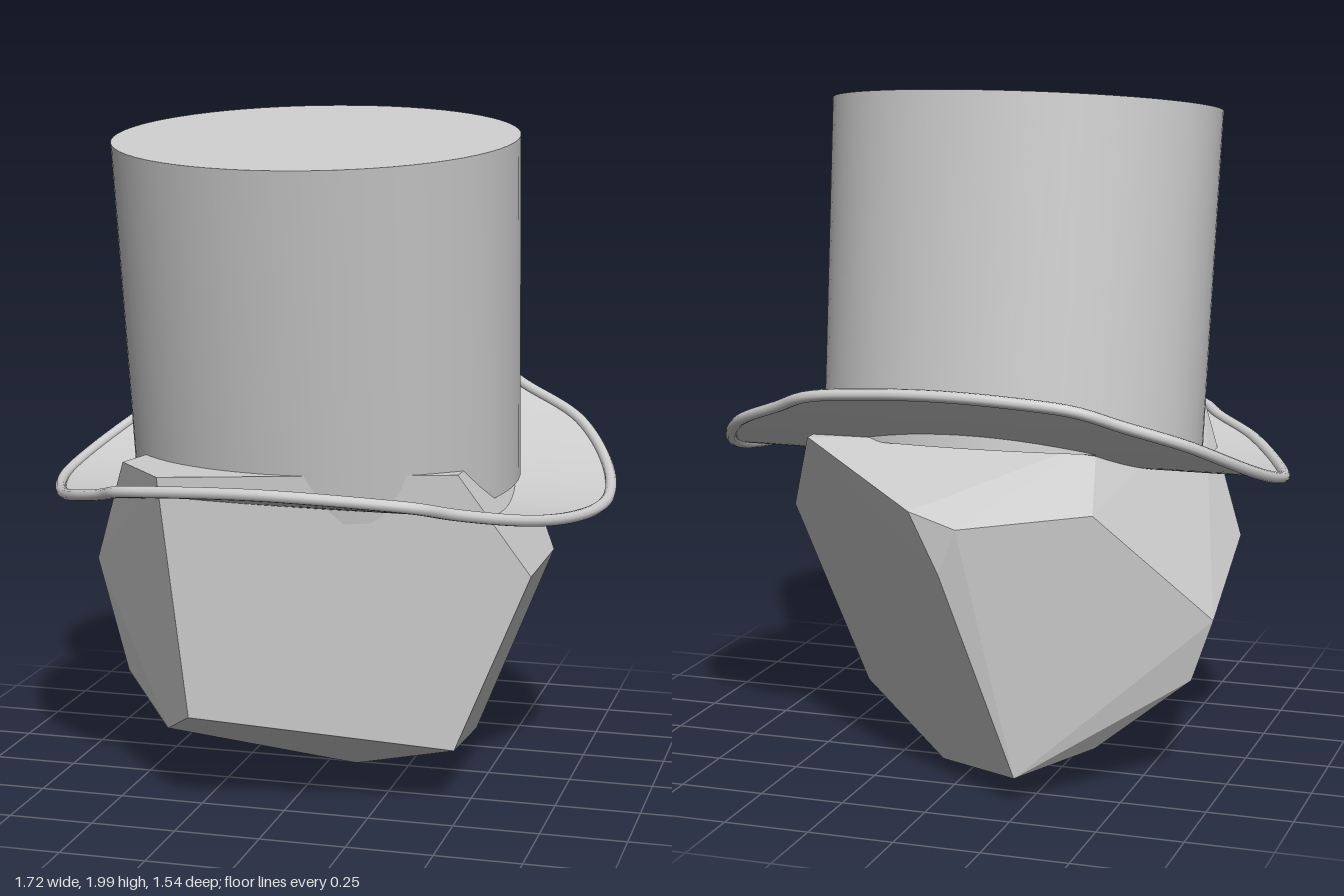
import * as THREE from 'three';
import { ConvexGeometry } from 'three/addons/geometries/ConvexGeometry.js';

const V = (x, y, z) => new THREE.Vector3(x, y, z);

// Height of the brim: low near the middle, curling up to front and back
const brimHeight = (z) => {
  const d = z - 0.15;
  return 0.862 + (d > 0 ? 0.35 : 0.48) * d * d;
};

// Mirrored outline of the brim seen from above
function brimOutline() {
  const half = [[0.3, 0.715], [0.44, 0.675], [0.5, 0.61], [0.65, 0.465], [0.785, 0.22], [0.845, 0],
    [0.81, -0.23], [0.69, -0.44], [0.5, -0.565], [0.4, -0.62], [0.2, -0.65]];
  const flat = [[0, 0.75], ...half, [0, -0.66], ...half.slice().reverse().map(([x, z]) => [-x, z])];
  const curve = new THREE.CatmullRomCurve3(flat.map(([x, z]) => V(x, 0, z)), true, 'centripetal');
  return curve.getSpacedPoints(120).slice(0, 120);
}

// Curved sheet made of rings growing from the middle to the outline
function brimSheet(outline) {
  const rings = 20, n = outline.length, cz = 0.04, pos = [], idx = [];
  for (let r = 0; r <= rings; r++) {
    for (const p of outline) {
      const t = Math.max(r / rings, 0.001);
      const z = cz + (p.z - cz) * t;
      pos.push(p.x * t, brimHeight(z), z);
    }
  }
  for (let r = 0; r < rings; r++) {
    for (let i = 0; i < n; i++) {
      const j = (i + 1) % n, a = r * n + i, b = r * n + j, c = a + n, d = b + n;
      idx.push(a, c, b, b, c, d);
    }
  }
  const g = new THREE.BufferGeometry();
  g.setAttribute('position', new THREE.Float32BufferAttribute(pos, 3));
  g.setIndex(idx);
  g.computeVertexNormals();
  return g;
}

export function createModel() {
  const group = new THREE.Group();
  const grey = new THREE.MeshStandardMaterial({ name: 'grey', color: 0xcccccc });
  const greySheet = new THREE.MeshStandardMaterial({ name: 'greySheet', color: 0xcccccc, side: THREE.DoubleSide });
  const add = (name, geometry, material = grey) => {
    const mesh = new THREE.Mesh(geometry, material);
    mesh.name = name;
    group.add(mesh);
    return mesh;
  };

  // Faceted head, a convex block given by its corners
  add('head', new ConvexGeometry([
    // top
    V(-0.33, 1.0, 0.64), V(0.48, 1.0, 0.385), V(0.49, 0.985, -0.4), V(-0.35, 1.0, -0.25), V(-0.5, 1.0, 0.45),
    // left side
    V(0.68, 0.7, 0.31), V(0.68, 0.7, -0.06), V(0.47, 0.18, 0.355), V(0.46, 0.14, -0.01),
    // back
    V(0.04, 0.87, -0.76), V(-0.1, 0.83, -0.77), V(-0.05, 0.7, -0.77), V(-0.42, 0.84, -0.53),
    // right side
    V(-0.68, 0.645, 0.19), V(-0.71, 0.5, -0.28), V(-0.65, 0.32, -0.29), V(-0.56, 0.32, 0.26),
    // chin and underside
    V(-0.26, 0.29, 0.59), V(-0.37, 0.21, 0.454), V(-0.4, 0.13, -0.42), V(-0.22, 0.085, -0.62),
    V(0.11, 0.005, -0.29), V(0.1, 0.02, 0.06),
  ]));

  // Oval crown leaning forward
  const crown = add('hatCrown', new THREE.CylinderGeometry(0.6, 0.585, 1.02, 64));
  crown.scale.z = 0.808;
  crown.rotation.x = THREE.MathUtils.degToRad(8);
  crown.position.set(0, 1.427, 0.1);

  // Brim with a rolled rim
  const outline = brimOutline();
  add('hatBrim', brimSheet(outline), greySheet);
  const rimPath = new THREE.CatmullRomCurve3(outline.map((p) => V(p.x, brimHeight(p.z), p.z)), true);
  add('brimRim', new THREE.TubeGeometry(rimPath, 160, 0.017, 10, true));

  return group;
}
